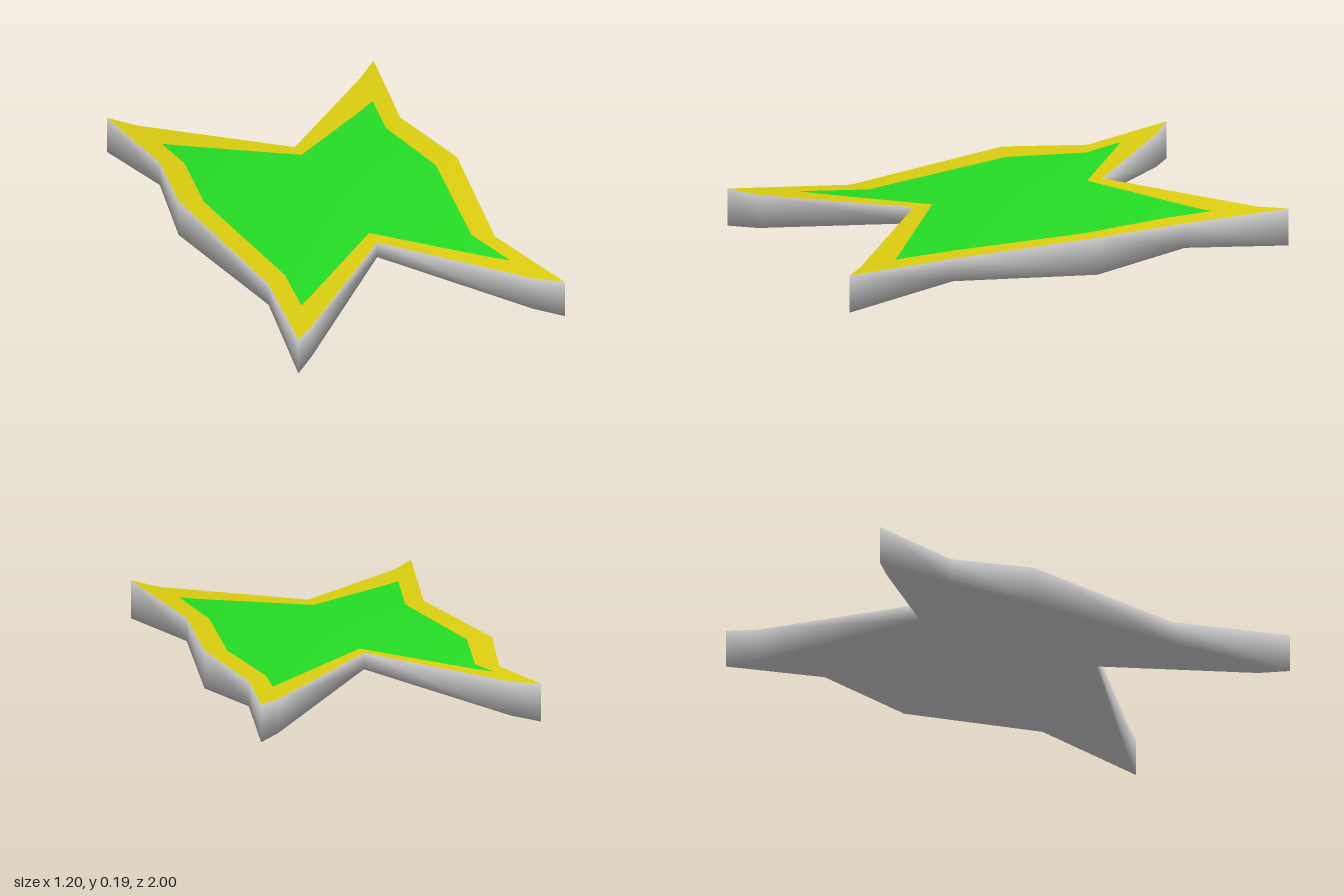
import * as THREE from 'three';

const green = new THREE.MeshStandardMaterial({ color: 0x25dc25, name: 'green' });
const yellow = new THREE.MeshStandardMaterial({ color: 0xdccd10, name: 'yellow' });
const grey = new THREE.MeshStandardMaterial({ color: 0xc6c6c6, name: 'grey' });

// Stations around the rim, counter-clockwise seen from above:
// [rim x, rim z, rim top y, rim bottom y, inner x, inner z, inner y]
const stations = [
  [0, 0.43, 0.19, 0.12, 0, 0.345, 0.19],
  [0.5, 0.905, 0.155, 0.01, 0.4, 0.673, 0.158],
  [0.6, 1, 0.165, 0.003, 0.47, 0.73, 0.155],
  [0.505, 0.485, 0.134, 0.035, 0.42, 0.44, 0.136],
  [0.6, -0.13, 0.165, 0.003, 0.5, -0.12, 0.155],
  [0.53, -0.56, 0.142, 0.035, 0.44, -0.5, 0.144],
  [0.6, -1, 0.165, 0.003, 0.47, -0.71, 0.155],
  [0.5, -0.905, 0.155, 0.01, 0.4, -0.655, 0.158],
  [0, -0.43, 0.19, 0.12, 0, -0.36, 0.19],
  [-0.5, -0.905, 0.155, 0.01, -0.4, -0.675, 0.158],
  [-0.6, -1, 0.165, 0.003, -0.47, -0.73, 0.155],
  [-0.53, -0.61, 0.142, 0.035, -0.44, -0.56, 0.144],
  [-0.6, -0.25, 0.165, 0.003, -0.5, -0.22, 0.155],
  [-0.51, 0.48, 0.134, 0.035, -0.42, 0.44, 0.136],
  [-0.6, 1, 0.165, 0.003, -0.47, 0.73, 0.155],
  [-0.5, 0.905, 0.155, 0.01, -0.4, 0.673, 0.158],
];
const n = stations.length;
const rimTop = stations.map(s => [s[0], s[2], s[1], 1]);
const rimBottom = stations.map(s => [s[0], s[3], s[1], -1]);
const inner = stations.map(s => [s[4], s[6], s[5], 1]);

// Surface between two loops; normals lean up or down so the edges shade softly
function band(name, a, b, material) {
  const points = [...a, ...b];
  const index = [];
  for (let i = 0; i < n; i++) {
    const j = (i + 1) % n;
    index.push(i, j, n + i, j, n + j, n + i);
  }
  const normals = points.flatMap(([x, , z, side]) =>
    new THREE.Vector3(x * 0.12, side, z * 0.12).normalize().toArray());
  const geometry = new THREE.BufferGeometry();
  geometry.setAttribute('position', new THREE.Float32BufferAttribute(points.flatMap(p => p.slice(0, 3)), 3));
  geometry.setAttribute('normal', new THREE.Float32BufferAttribute(normals, 3));
  geometry.setIndex(index);
  const mesh = new THREE.Mesh(geometry, material);
  mesh.name = name;
  return mesh;
}

// A loop collapsed to one point, to close a surface at its middle
const middle = (y, side) => stations.map(() => [0, y, -0.03, side]);

export function createModel() {
  const group = new THREE.Group();
  group.name = 'starPlate';
  group.add(
    band('topField', inner, middle(0.19, 1), green),
    band('border', rimTop, inner, yellow),
    band('sideWall', rimBottom, rimTop, grey),
    band('underside', middle(0.12, -1), rimBottom, grey),
  );
  return group;
}
